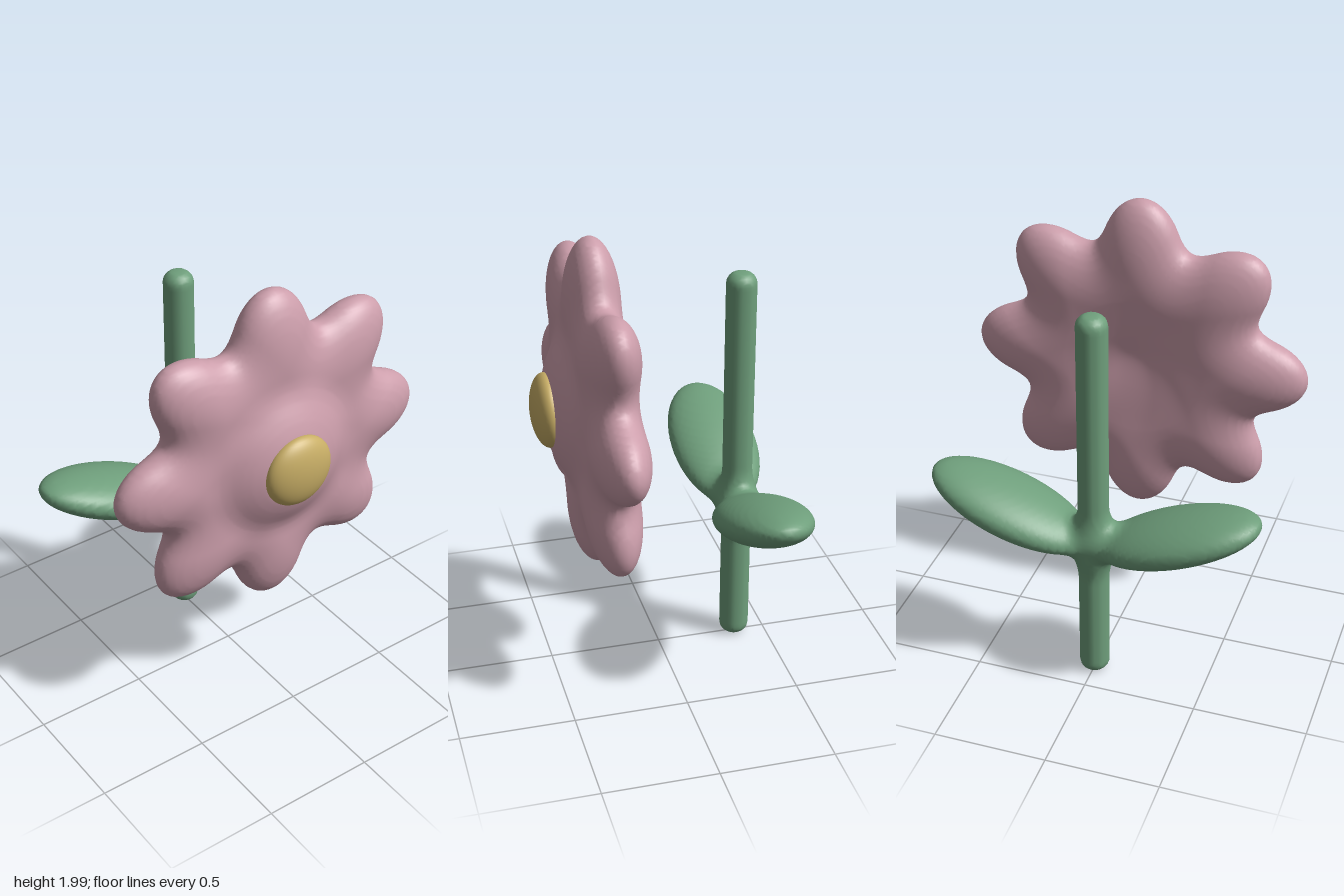
import * as THREE from 'three';

// Distance to an ellipsoid with centre c, radii r, tilted about z
const ellipsoid = (c, r, tilt = 0) => {
  const cs = Math.cos(tilt), sn = Math.sin(tilt);
  return (x, y, z) => {
    const dx = x - c[0], dy = y - c[1];
    const u = (dx * cs + dy * sn) / r[0], v = (dy * cs - dx * sn) / r[1], w = (z - c[2]) / r[2];
    const k0 = Math.hypot(u, v, w), k1 = Math.hypot(u / r[0], v / r[1], w / r[2]);
    return k1 < 1e-6 ? -Math.min(...r) : k0 * (k0 - 1) / k1;
  };
};

// Upright cylinder with rounded ends
const roundRod = (cx, cz, radius, y0, y1, e) => (x, y, z) => {
  const a = Math.hypot(x - cx, z - cz) - radius + e;
  const b = Math.abs(y - (y0 + y1) / 2) - (y1 - y0) / 2 + e;
  return Math.min(Math.max(a, b), 0) + Math.hypot(Math.max(a, 0), Math.max(b, 0)) - e;
};

// Soft union of several forms
const blend = (forms, k) => (x, y, z) => forms.reduce((d, f) => {
  const e = f(x, y, z), h = Math.max(k - Math.abs(d - e), 0) / k;
  return Math.min(d, e) - h * h * k / 4;
}, 10);

// Skin a soft form: one vertex per crossed grid cell, pulled onto the surface
function skin(f, min, max, s) {
  const n = min.map((m, i) => Math.ceil((max[i] - m) / s) + 1);
  const step = [1, n[0], n[0] * n[1]];
  const val = new Float32Array(n[0] * n[1] * n[2]);
  const each = (fn) => {
    for (let k = 0; k < n[2]; k++)
      for (let j = 0; j < n[1]; j++)
        for (let i = 0; i < n[0]; i++) fn([i, j, k], i + j * step[1] + k * step[2]);
  };
  each((p, id) => { val[id] = f(...p.map((q, a) => min[a] + q * s)); });

  const vertex = new Int32Array(val.length).fill(-1), pos = [], index = [];
  each((p, id) => {
    if (p.some((q, a) => q >= n[a] - 1)) return;
    const sum = [0, 0, 0];
    let count = 0;
    for (let c = 0; c < 8; c++) {
      const o = [c & 1, (c >> 1) & 1, c >> 2];
      const v0 = val[id + o[0] + o[1] * step[1] + o[2] * step[2]];
      for (let a = 0; a < 3; a++) {
        if (o[a]) continue;
        const v1 = val[id + o[0] + o[1] * step[1] + o[2] * step[2] + step[a]];
        if ((v0 < 0) === (v1 < 0)) continue;
        for (let b = 0; b < 3; b++) sum[b] += o[b] + (a === b ? v0 / (v0 - v1) : 0);
        count++;
      }
    }
    if (!count) return;
    let q = p.map((g, a) => min[a] + (g + sum[a] / count) * s);
    for (let t = 0; t < 3; t++) {
      const d = f(...q), h = 0.001;
      const g = [0, 1, 2].map((a) => (f(...q.map((w, b) => w + (a === b ? h : 0))) - d) / h);
      const g2 = Math.max(g[0] ** 2 + g[1] ** 2 + g[2] ** 2, 0.3);
      q = q.map((w, a) => w - THREE.MathUtils.clamp(d * g[a] / g2, -s / 3, s / 3));
    }
    vertex[id] = pos.length / 3;
    pos.push(...q);
  });
  each((p, id) => {
    for (let a = 0; a < 3; a++) {
      const b = (a + 1) % 3, c = (a + 2) % 3;
      if (p[a] >= n[a] - 1 || !p[b] || !p[c]) continue;
      const inside = val[id] < 0;
      if (inside === (val[id + step[a]] < 0)) continue;
      const [A, B, C, D] = [id - step[b] - step[c], id - step[c], id, id - step[b]].map((i) => vertex[i]);
      if (inside) index.push(A, B, C, A, C, D);
      else index.push(A, C, B, A, D, C);
    }
  });
  const geo = new THREE.BufferGeometry();
  geo.setAttribute('position', new THREE.Float32BufferAttribute(pos, 3));
  geo.setIndex(index);
  geo.computeVertexNormals();
  return geo;
}

export function createModel() {
  const group = new THREE.Group();
  const material = (name, color) => {
    const m = new THREE.MeshStandardMaterial({ color });
    m.name = name;
    return m;
  };
  const add = (name, geo, mat) => {
    const mesh = new THREE.Mesh(geo, mat);
    mesh.name = name;
    group.add(mesh);
    return mesh;
  };
  const pink = material('petal pink', 0xcc9eab);
  const green = material('leaf green', 0x6f9f7c);
  const yellow = material('pollen yellow', 0xc8ae66);

  // Eight petals melted into a raised middle
  const cy = 1.25, cz = 0.285, petals = [];
  for (let i = 0; i < 8; i++) {
    const a = i * Math.PI / 4;
    petals.push(ellipsoid([0.45 * Math.cos(a), cy + 0.45 * Math.sin(a), cz], [0.3, 0.185, 0.12], a));
  }
  const middle = ellipsoid([0, cy, 0.37], [0.24, 0.24, 0.13]);
  add('petals', skin(blend([...petals, middle], 0.15), [-0.8, 0.45, 0.1], [0.8, 2.05, 0.56], 0.018), pink);

  // Flower centre button
  const button = add('flowerCentre', new THREE.SphereGeometry(1, 40, 28), yellow);
  button.scale.set(0.16, 0.16, 0.07);
  button.position.set(0, cy, 0.485);

  // Stem with a pair of upturned leaves growing out of it
  const stemZ = -0.36, tilt = 0.35;
  const leaves = [1, -1].map((side) => ellipsoid([side * 0.372, 0.8, stemZ], [0.375, 0.1, 0.197], side * tilt));
  const stem = roundRod(0, stemZ, 0.066, 0.005, 1.785, 0.05);
  add('stemAndLeaves', skin(blend([...leaves, stem], 0.1), [-0.78, -0.04, -0.6], [0.78, 1.83, -0.12], 0.0175), green);

  return group;
}
